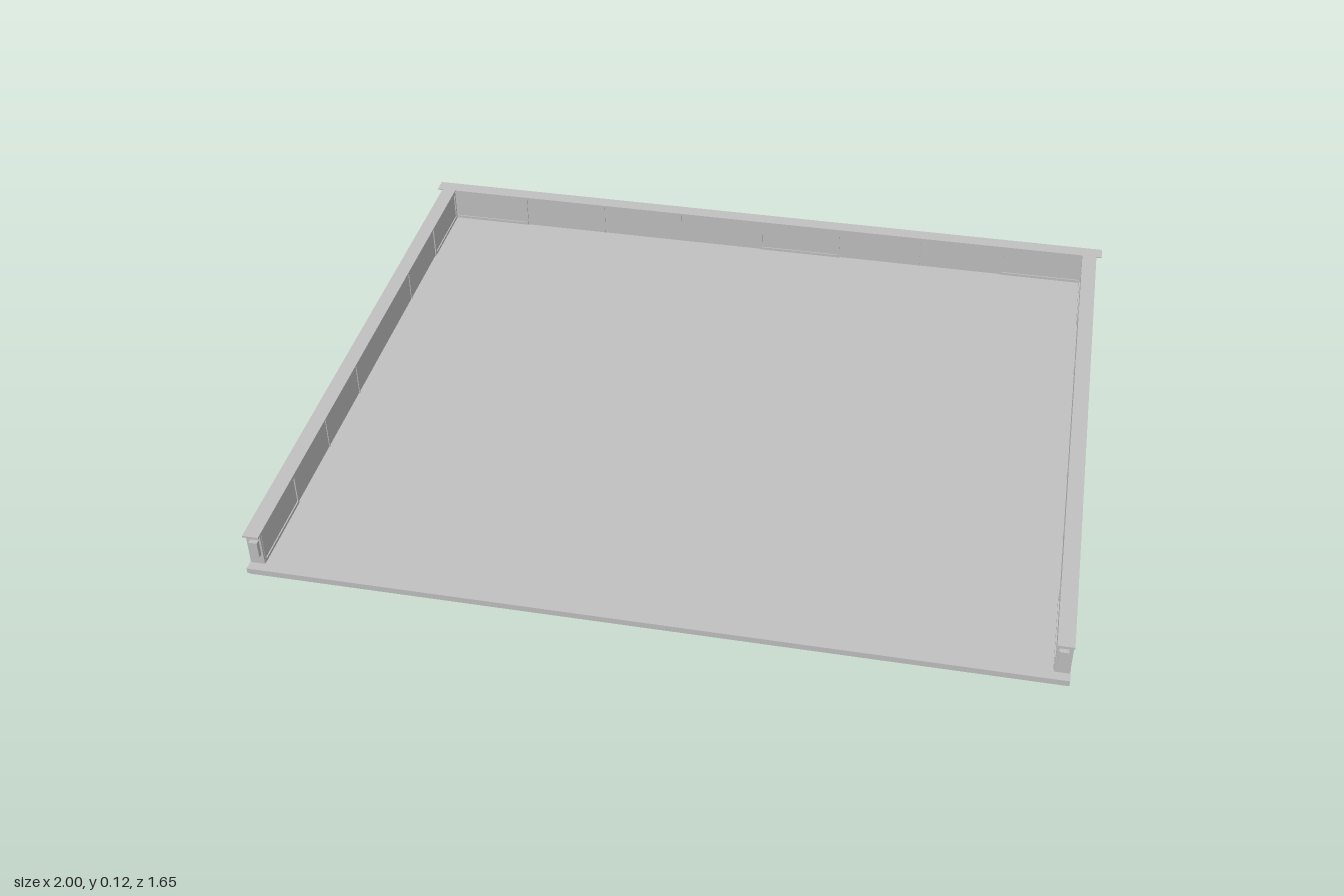
import * as THREE from 'three';

export function createModel() {
  const model = new THREE.Group();
  model.name = 'walledFloor';
  const grey = new THREE.MeshStandardMaterial({ color: 0xc0c0c0 });
  grey.name = 'light grey';

  const box = (parent, name, w, h, d, x, y, z) => {
    const mesh = new THREE.Mesh(new THREE.BoxGeometry(w, h, d), grey);
    mesh.name = name;
    mesh.position.set(x, y, z);
    parent.add(mesh);
    return mesh;
  };

  // Floor slab with a slightly narrower foot
  box(model, 'floorFoot', 1.962, 0.005, 1.642, 0, 0.0025, 0);
  box(model, 'floorSlab', 1.97, 0.015, 1.65, 0, 0.0125, 0);

  const bottom = 0.02, top = 0.112, height = top - bottom, mid = (top + bottom) / 2;
  const thick = 0.032;

  // Wall along local x, with thin seam ribs and raised panel frames on both faces
  function makeWall(name, length, seams, frames) {
    const wall = new THREE.Group();
    wall.name = name;
    box(wall, 'wallCore', length, height, thick, 0, mid, 0);
    for (const x of seams) box(wall, 'seamRib', 0.004, height, thick + 0.004, x, mid, 0);
    for (const [a, b] of frames) {
      const c = (a + b) / 2, w = b - a, deep = thick + 0.006;
      for (const y of [bottom + 0.004, top - 0.004]) {
        box(wall, 'frameRail', w, 0.008, deep, c, y, 0);
      }
      for (const x of [a + 0.003, b - 0.003]) {
        box(wall, 'frameStile', 0.006, height - 0.016, deep, x, mid, 0);
      }
    }
    model.add(wall);
    return wall;
  }

  // Back wall
  const back = makeWall('backWall', 1.956,
    [-0.48, -0.243, 0.475],
    [[-0.978, -0.72], [0, 0.237], [0.715, 0.978]]);
  back.position.z = -0.805;
  box(model, 'backCap', 1.97, 0.005, 0.04, 0, 0.1145, -0.805);

  // Side walls, mirrored
  for (const side of [-1, 1]) {
    const wall = makeWall(side > 0 ? 'leftWall' : 'rightWall', 1.59,
      [-0.345, -0.11, 0.34],
      [[-0.795, -0.57], [0.57, 0.785]]);
    wall.rotation.y = Math.PI / 2;
    wall.position.x = side * 0.965;

    box(model, 'sideCap', 0.04, 0.005, 1.6, side * 0.965, 0.1145, 0.015);
    // Overhanging tip of the cap at the back corner
    box(model, 'capTip', 0.016, 0.003, 0.04, side * 0.992, 0.1155, -0.805);
    // Connector plate on the open end
    box(model, 'endFrame', 0.036, height, 0.006, side * 0.965, mid, 0.798);
    box(model, 'endConnector', 0.022, 0.045, 0.014, side * 0.963, 0.073, 0.806);
  }
  return model;
}
